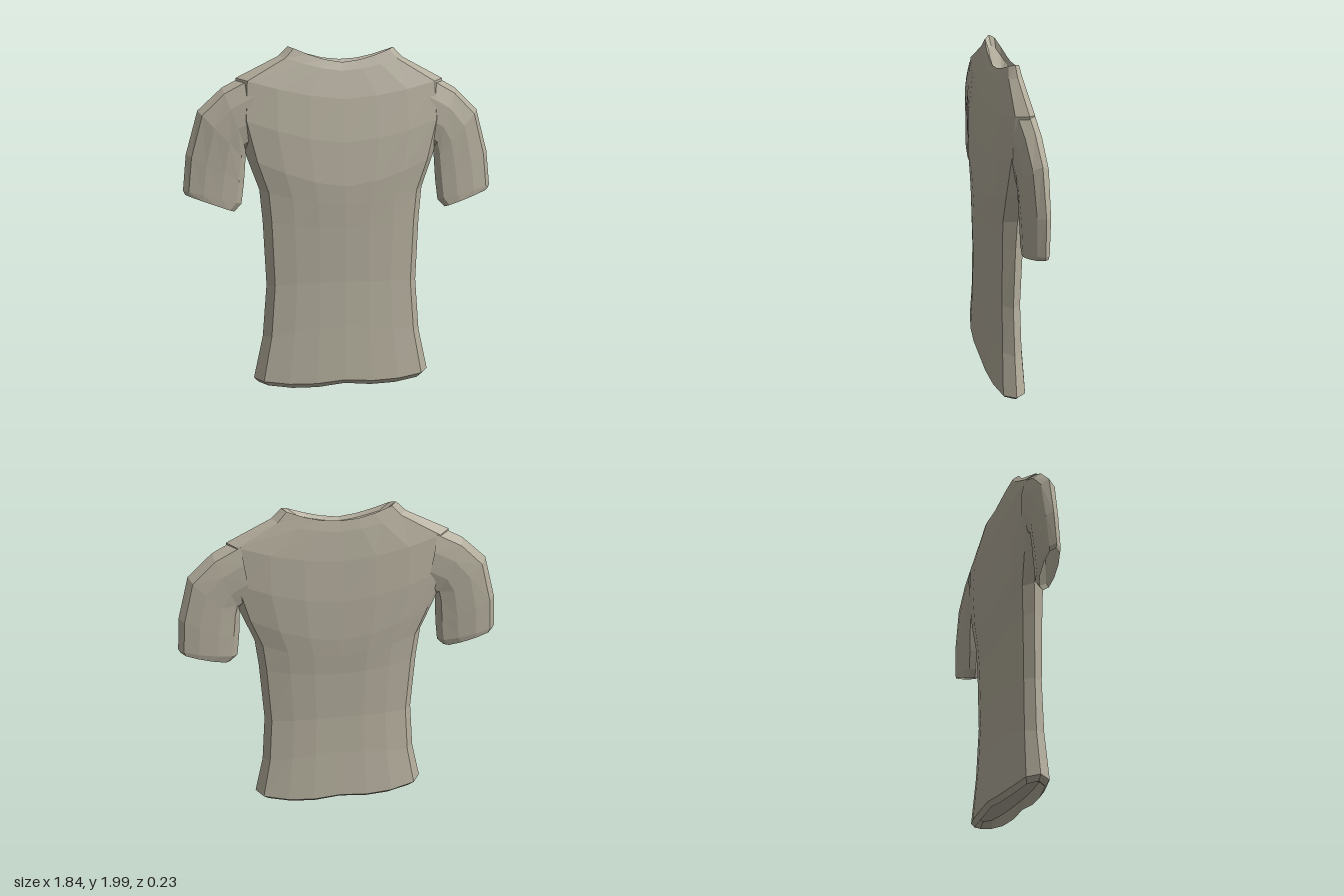
import * as THREE from 'three';

const fabric = new THREE.MeshStandardMaterial({ color: 0xb2ac9b, flatShading: true, side: THREE.DoubleSide });
fabric.name = 'warm grey fabric';

// Skin a list of closed rings, each an array of [x, y, z]
function loft(rings) {
  const n = rings[0].length;
  const index = [];
  for (let r = 0; r < rings.length - 1; r++) {
    for (let i = 0; i < n; i++) {
      const j = (i + 1) % n;
      const a = r * n + i, b = r * n + j;
      index.push(a, b, b + n, a, b + n, a + n);
    }
  }
  const geometry = new THREE.BufferGeometry();
  geometry.setAttribute('position', new THREE.Float32BufferAttribute(rings.flat(2), 3));
  geometry.setIndex(index);
  geometry.computeVertexNormals();
  return geometry;
}

// Half cross-section of the body: [fraction of width, fraction of depth]
const SECTION = [[0, 1], [0.32, 0.96], [0.62, 0.84], [0.9, 0.6], [1, 0],
  [0.91, -0.55], [0.62, -0.86], [0.32, -1], [0, -1]];

// Body ring: half width, height at centre and at sides, front/side/back z, hem dip
function bodyRing([w, yMid, ySide, zFront, zSide, zBack, dip = 0, backRise = 0]) {
  const half = SECTION.map(([u, t]) => [
    u * w,
    yMid + (ySide - yMid) * u ** 1.6 - dip * Math.sin(Math.PI * u) + (t < 0 ? backRise * (1 - u) : 0),
    zSide + (t > 0 ? t * (zFront - zSide) : -t * (zBack - zSide)),
  ]);
  const mirrored = half.slice(1, -1).reverse().map(([x, y, z]) => [-x, y, z]);
  return [...half, ...mirrored];
}

// Sleeve ring: outer point, inner point, their z, half depth
function sleeveRing([xo, yo, xi, yi, zo, zi, depth]) {
  const ring = [];
  for (let i = 0; i < 10; i++) {
    const a = (i / 10) * Math.PI * 2;
    const s = 0.5 + 0.5 * Math.cos(a);
    const d = Math.sign(Math.sin(a)) * Math.abs(Math.sin(a)) ** 0.8;
    ring.push([xi + (xo - xi) * s, yi + (yo - yi) * s, zi + (zo - zi) * s + d * depth]);
  }
  return ring;
}

export function createModel() {
  const group = new THREE.Group();
  group.name = 'shirt';

  // Body from the recessed hem up over the chest to the collar
  const body = new THREE.Mesh(loft([
    [0, 0.06, 0.06, 0, 0, 0],
    [0.44, 0.06, 0.06, 0.065, 0, -0.065],
    [0.50, 0.024, 0.032, 0.09, 0, -0.09, 0.022],
    [0.53, 0.05, 0.06, 0.113, 0, -0.113, 0.02],
    [0.475, 0.38, 0.31, 0.102, 0, -0.092],
    [0.45, 0.64, 0.62, 0.097, 0.005, -0.085],
    [0.468, 0.96, 1.0, 0.105, 0, -0.095],
    [0.485, 1.09, 1.18, 0.11, -0.005, -0.106],
    [0.555, 1.2, 1.37, 0.113, -0.015, -0.113],
    [0.62, 1.45, 1.6, 0.097, -0.025, -0.116],
    [0.61, 1.7, 1.82, 0.068, -0.03, -0.108],
    [0.365, 1.86, 1.945, 0.036, -0.03, -0.092, 0, 0.01],
    [0.31, 1.91, 2.0, 0.018, -0.03, -0.08, 0, 0.02],
    [0.245, 1.89, 1.95, 0.006, -0.03, -0.068, 0, 0.01],
    [0, 1.87, 1.87, -0.03, -0.03, -0.03],
  ].map(bodyRing)), fabric);
  body.name = 'body';
  group.add(body);

  // Short sleeves turning down from the shoulders
  const sleeveGeometry = loft([
    [0.54, 1.845, 0.49, 1.45, -0.03, -0.015, 0.07],
    [0.69, 1.765, 0.56, 1.41, -0.035, -0.015, 0.066],
    [0.83, 1.635, 0.562, 1.35, -0.04, -0.015, 0.062],
    [0.9, 1.385, 0.572, 1.22, -0.045, -0.015, 0.054],
    [0.92, 1.18, 0.588, 1.1, -0.04, -0.015, 0.048],
    [0.908, 1.155, 0.63, 1.055, -0.04, -0.01, 0.042],
  ].map(sleeveRing));
  for (const side of [1, -1]) {
    const sleeve = new THREE.Mesh(sleeveGeometry, fabric);
    sleeve.name = side > 0 ? 'leftSleeve' : 'rightSleeve';
    sleeve.scale.x = side;
    group.add(sleeve);
  }
  return group;
}
